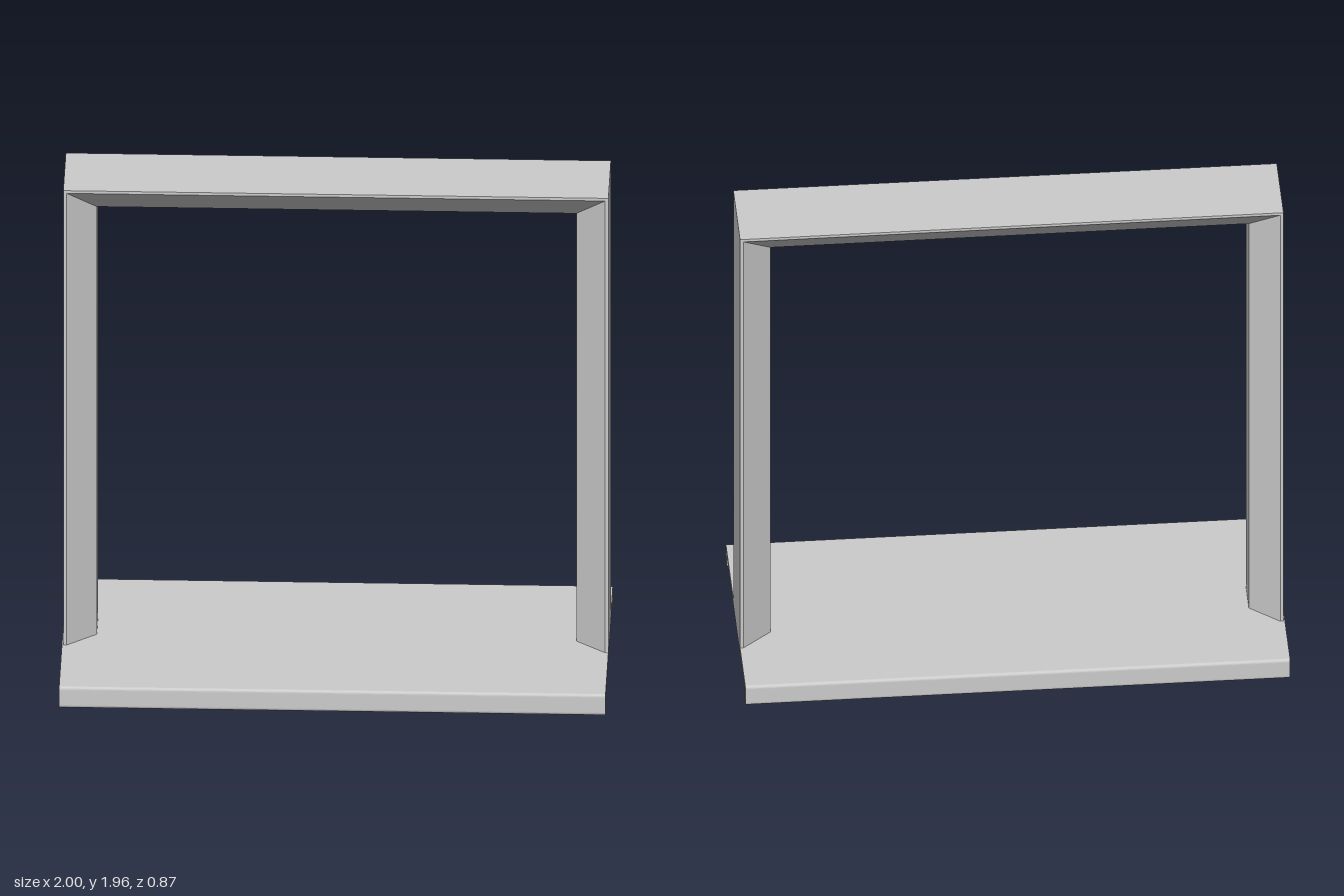
import * as THREE from 'three';

const material = new THREE.MeshStandardMaterial({ color: 0xcccccc, flatShading: true });

// Upright frame: a bevelled section swept up, across and down with mitred corners
function frameGeometry() {
  const left = -0.995, right = 1, top = 1.96, foot = 0.07;
  // [depth inward from the outer face, z]
  const section = [[0, 0.1], [0.012, 0.1], [0.12, 0.01], [0.12, -0.11], [0.012, -0.2], [0, -0.2]];
  const stations = [
    (d, z) => [left + d, foot, z],
    (d, z) => [left + d, top - d * 0.92, z],
    (d, z) => [right - d, top - d * 0.92, z],
    (d, z) => [right - d, foot, z],
  ];
  const n = section.length;
  const positions = [];
  for (let i = 0; i < stations.length - 1; i++) {
    for (let j = 0; j < n; j++) {
      const p = section[j], q = section[(j + 1) % n];
      const a = stations[i](...p), b = stations[i](...q);
      const c = stations[i + 1](...q), d = stations[i + 1](...p);
      positions.push(...a, ...b, ...c, ...a, ...c, ...d);
    }
  }
  const geometry = new THREE.BufferGeometry();
  geometry.setAttribute('position', new THREE.Float32BufferAttribute(positions, 3));
  geometry.computeVertexNormals();
  return geometry;
}

// Base tray: a flat plate with a rounded lip folded down at front and back
function baseGeometry() {
  const w = 0.437, t = 0.03, top = 0.088, under = 0.06, r = 0.012;
  const s = new THREE.Shape();
  s.moveTo(-w + r, top);
  s.quadraticCurveTo(-w, top, -w, top - r);
  s.lineTo(-w, t / 2);
  s.absarc(-w + t / 2, t / 2, t / 2, Math.PI, 2 * Math.PI, false);
  s.lineTo(-w + t, under);
  s.lineTo(w - t, under);
  s.lineTo(w - t, t / 2);
  s.absarc(w - t / 2, t / 2, t / 2, Math.PI, 2 * Math.PI, false);
  s.lineTo(w, top - r);
  s.quadraticCurveTo(w, top, w - r, top);
  s.closePath();
  const geometry = new THREE.ExtrudeGeometry(s, { depth: 2, bevelEnabled: false, curveSegments: 6 });
  return geometry.translate(0, 0, -1).rotateY(Math.PI / 2);
}

export function createModel() {
  const model = new THREE.Group();
  model.name = 'standingFrame';
  const parts = { frame: frameGeometry(), base: baseGeometry() };
  for (const [name, geometry] of Object.entries(parts)) {
    const mesh = new THREE.Mesh(geometry, material);
    mesh.name = name;
    model.add(mesh);
  }
  return model;
}
